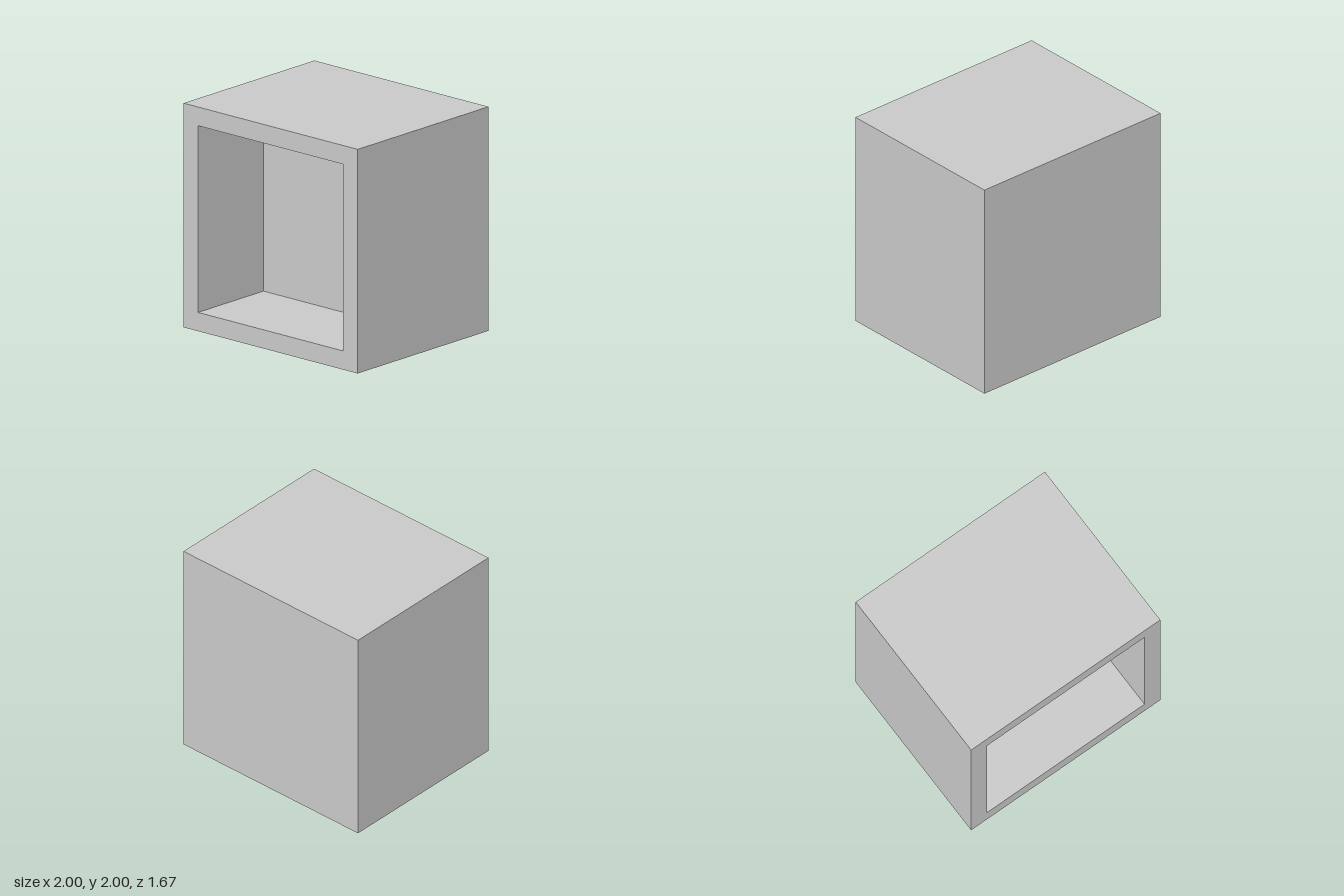
import * as THREE from 'three';

const HALF = 1;          // half the outer width and height
const OPENING = 0.833;   // half the opening's width and height
const DEPTH = 0.833;     // half the outer depth
const RECESS_Z = 0;      // where the recess ends

export function createModel() {
  const group = new THREE.Group();
  group.name = 'openBox';

  // One closed section from the back centre, round the rim, to the recess centre
  const profile = [
    [0, -DEPTH], [HALF, -DEPTH], [HALF, DEPTH],
    [OPENING, DEPTH], [OPENING, RECESS_Z], [0, RECESS_Z],
  ].map(([r, z]) => new THREE.Vector2(r * Math.SQRT2, z));

  // Four-sided lathe makes the square box with its recess as a single shell
  const geometry = new THREE.LatheGeometry(profile, 4, Math.PI / 4)
    .rotateX(Math.PI / 2)
    .translate(0, HALF, 0)
    .toNonIndexed();
  geometry.computeVertexNormals();

  const box = new THREE.Mesh(
    geometry,
    new THREE.MeshStandardMaterial({ color: 0xcccccc, flatShading: true }),
  );
  box.name = 'recessedBox';
  group.add(box);
  return group;
}
